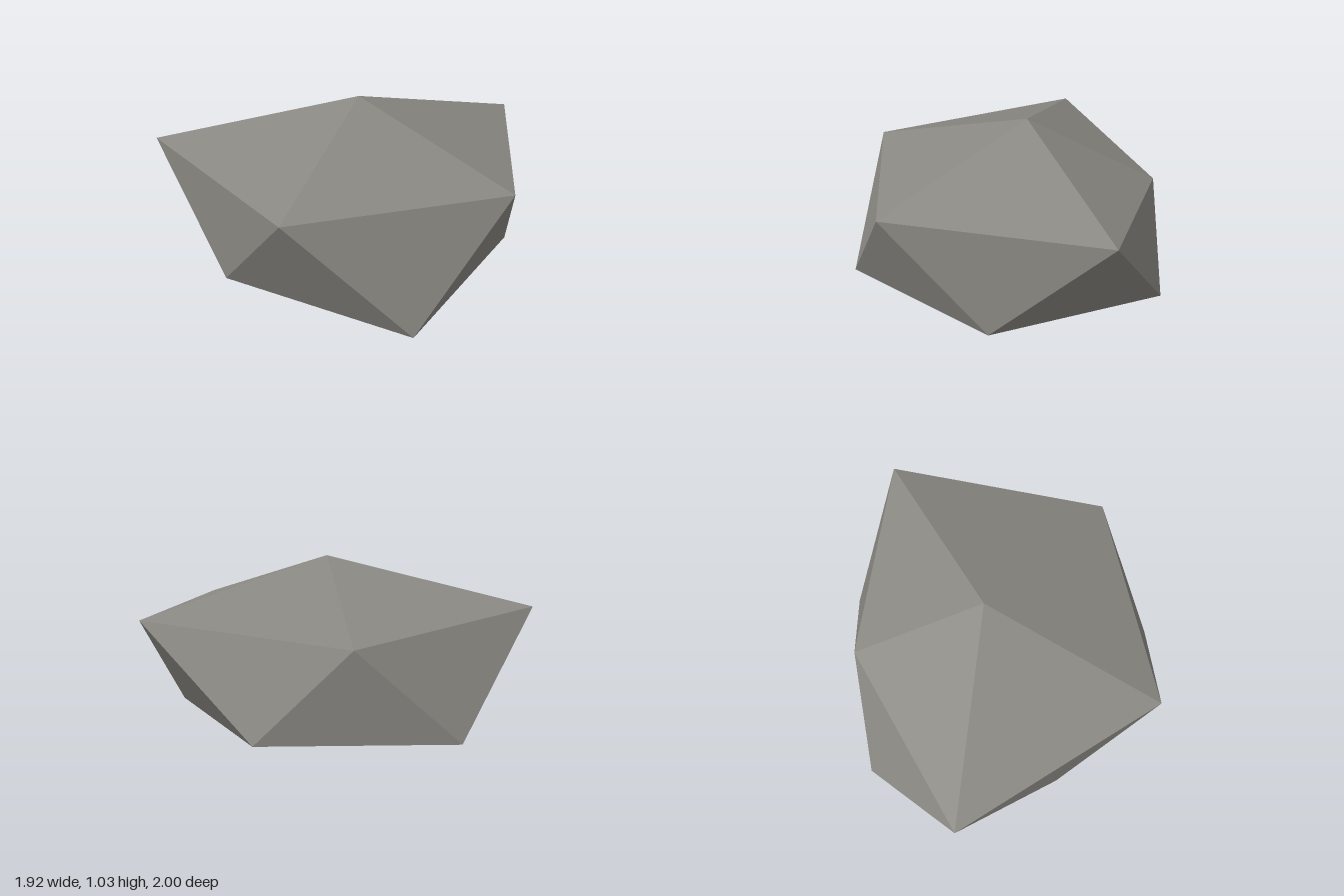
import * as THREE from 'three';

// Faceted boulder: two offset rings of five corners between a top and a bottom point
export function createModel() {
  const group = new THREE.Group();
  group.name = 'boulder';

  const stoneGray = new THREE.MeshStandardMaterial({ color: 0x8a8882 });
  stoneGray.name = 'stoneGray';

  const top = [-0.02, 1.035, 0.02];
  const bottom = [-0.02, 0, 0.02];
  const upper = [
    [0.96, 0.735, 0.02], [0.29, 0.75, 1.0], [-0.93, 0.775, 0.68],
    [-0.6, 0.655, -0.4], [0.31, 0.765, -1.0],
  ];
  const lower = [
    [0.78, 0.14, 0.61], [-0.28, 0.185, 0.83], [-0.96, 0.16, 0.02],
    [-0.28, 0.185, -0.78], [0.66, 0.185, -0.47],
  ];

  // Cap, zigzag band and underside, one wedge at a time
  const points = [];
  for (let i = 0; i < 5; i++) {
    const j = (i + 1) % 5;
    points.push(
      top, upper[j], upper[i],
      upper[i], upper[j], lower[i],
      lower[i], upper[j], lower[j],
      lower[i], lower[j], bottom,
    );
  }

  // Unshared corners give each facet its own flat normal
  const geometry = new THREE.BufferGeometry();
  geometry.setAttribute('position', new THREE.Float32BufferAttribute(points.flat(), 3));
  geometry.computeVertexNormals();

  const stone = new THREE.Mesh(geometry, stoneGray);
  stone.name = 'stone';
  group.add(stone);
  return group;
}
